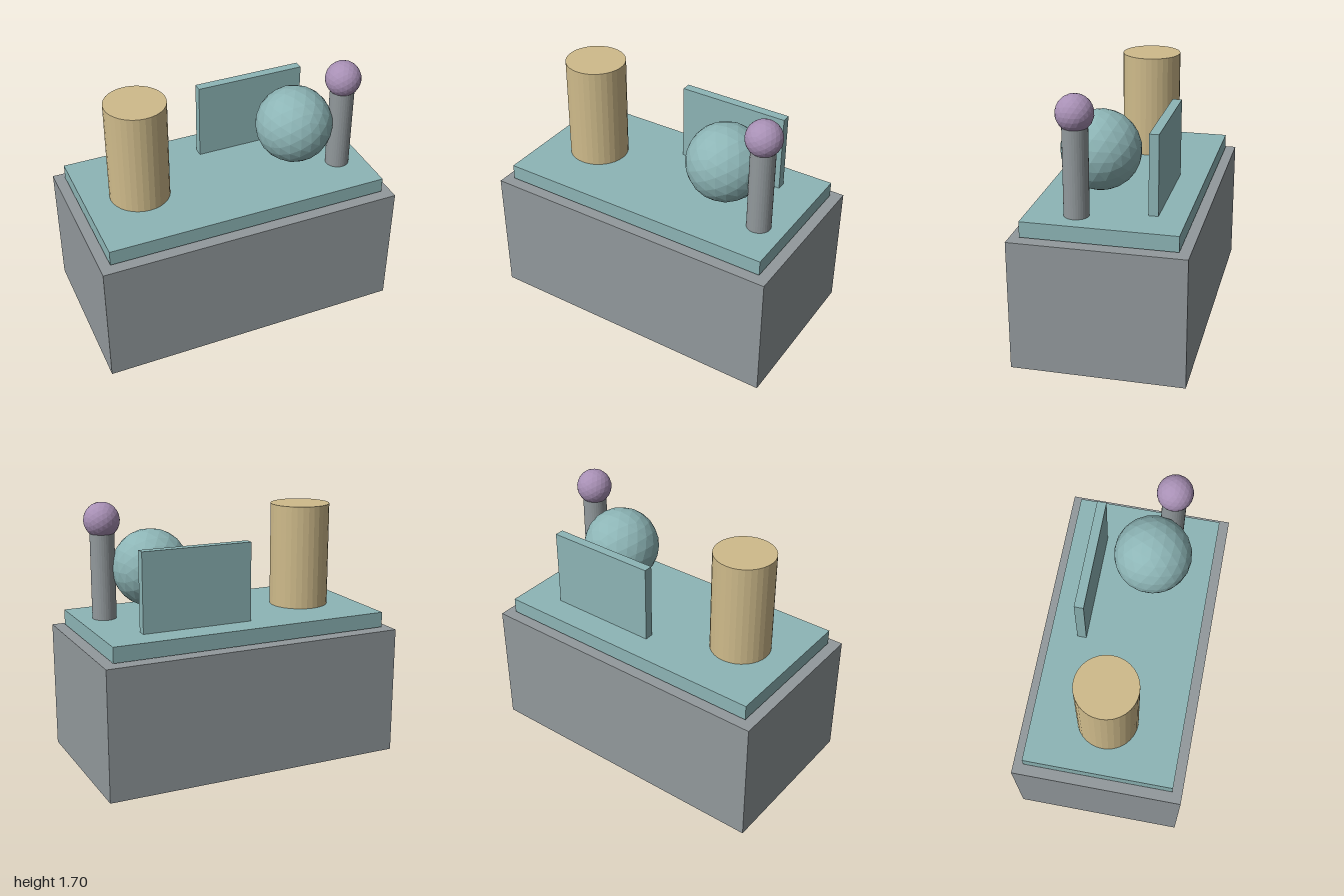
import * as THREE from 'three';

const paint = (name, color, flatShading = true) => {
  const m = new THREE.MeshStandardMaterial({ color, flatShading });
  m.name = name;
  return m;
};

export function createModel() {
  const group = new THREE.Group();
  const grey = paint('grey', 0x92999c);
  const teal = paint('teal', 0x8db5b6);
  const tan = paint('tan', 0xcfbb8b);
  const purple = paint('purple', 0xa890b5);

  const add = (name, geometry, material, x, y, z) => {
    const mesh = new THREE.Mesh(geometry, material);
    mesh.name = name;
    mesh.position.set(x, y, z);
    group.add(mesh);
  };
  // Each part that stands on something is placed by the height of its underside.
  const box = (name, mat, w, h, d, x, bottom, z) =>
    add(name, new THREE.BoxGeometry(w, h, d), mat, x, bottom + h / 2, z);
  const column = (name, mat, r, h, x, bottom, z) =>
    add(name, new THREE.CylinderGeometry(r, r, h, 32), mat, x, bottom + h / 2, z);
  const ball = (name, mat, r, x, y, z) =>
    add(name, new THREE.IcosahedronGeometry(r, 3), mat, x, y, z);

  const deck = 0.95; // top of the slab

  // Plinth and the slab just above it
  box('base', grey, 2, 0.84, 1.09, 0, 0, 0);
  box('slab', teal, 1.865, 0.1, 0.96, 0, 0.85, 0);

  // Objects on the slab
  column('drum', tan, 0.195, 0.68, -0.57, deck, 0);
  box('backPanel', teal, 0.73, 0.51, 0.06, 0.31, deck, -0.275);
  ball('largeBall', teal, 0.25, 0.465, 1.27, 0.095);
  column('post', grey, 0.078, 0.55, 0.757, deck, 0.175);
  ball('postKnob', purple, 0.115, 0.757, 1.583, 0.175);

  return group;
}
